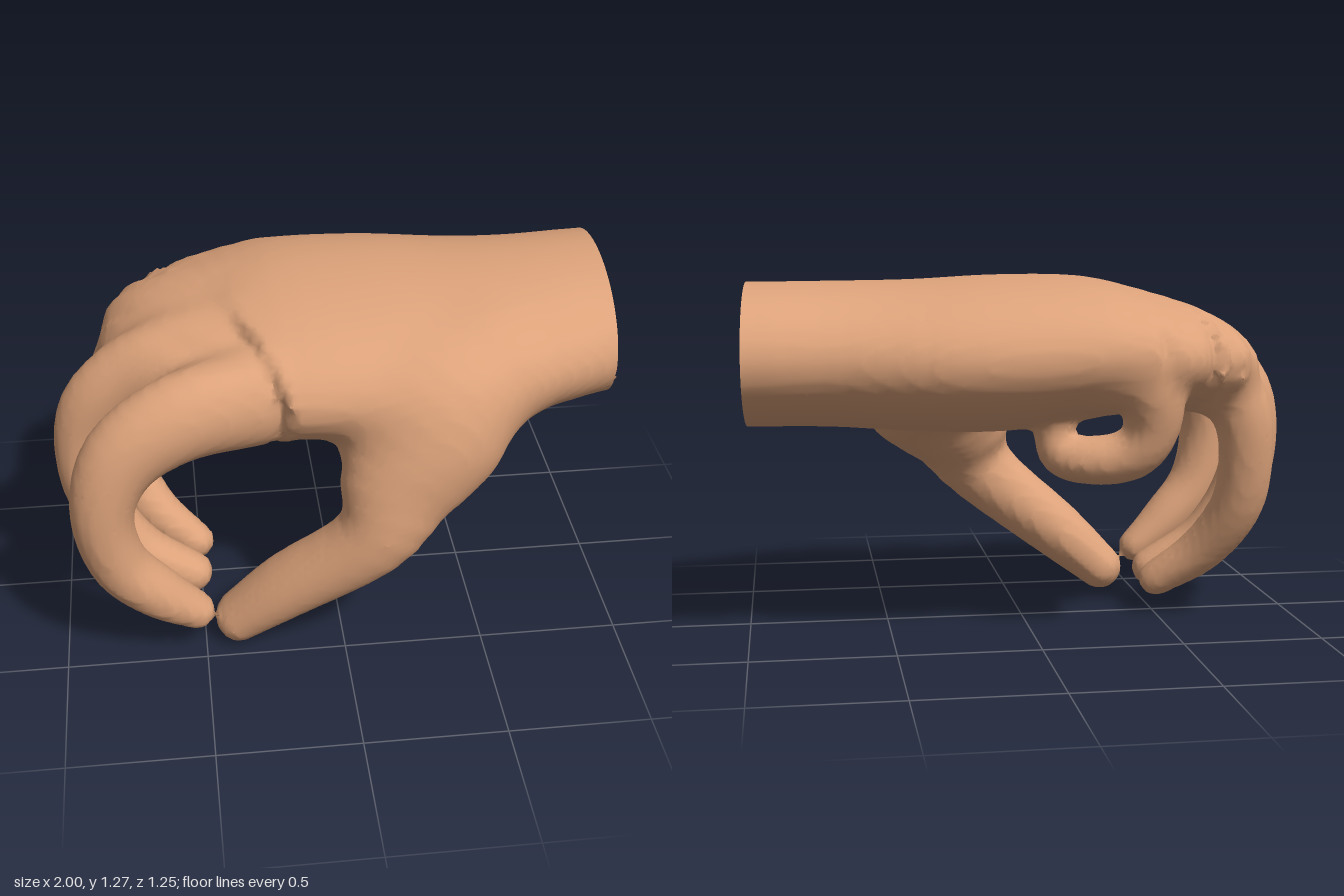
import * as THREE from 'three';
import { mergeVertices } from 'three/addons/utils/BufferGeometryUtils.js';

// Each part is a short path of [x, y, z, radius across the xy plane, radius in depth].

// Wrist through the back of the hand to the knuckles
const palmPath = [
  [1.3, 1.005, -0.13, 0.25, 0.42],
  [1.0, 1.005, -0.13, 0.25, 0.42],
  [0.7, 1.0, -0.085, 0.255, 0.465],
  [0.4, 0.99, -0.06, 0.268, 0.54],
  [0.1, 0.995, -0.065, 0.278, 0.565],
  [-0.2, 1.01, -0.055, 0.258, 0.565],
  [-0.4, 1.0, -0.04, 0.215, 0.535],
  [-0.52, 0.985, 0.05, 0.17, 0.42],
  [-0.58, 0.97, 0.11, 0.13, 0.34],
];

// Digits, with how softly each flows into the palm
const DIGITS = {
  // Fleshy base narrowing to the tip
  thumb: {
    blend: 0.12,
    path: [
      [0.5, 0.96, 0.22, 0.19, 0.2],
      [0.34, 0.85, 0.34, 0.26, 0.24],
      [0.2, 0.68, 0.43, 0.22, 0.185],
      [0.09, 0.48, 0.49, 0.14, 0.13],
      [-0.2, 0.24, 0.415, 0.112, 0.128],
      [-0.375, 0.088, 0.38, 0.087, 0.105],
    ],
  },
  indexFinger: {
    blend: 0.08,
    path: [
      [-0.3, 0.99, 0.34, 0.17, 0.14],
      [-0.55, 0.975, 0.41, 0.155, 0.13],
      [-0.75, 0.86, 0.45, 0.135, 0.12],
      [-0.83, 0.66, 0.47, 0.11, 0.115],
      [-0.79, 0.43, 0.46, 0.1, 0.11],
      [-0.66, 0.27, 0.44, 0.09, 0.1],
      [-0.53, 0.16, 0.42, 0.065, 0.075],
    ],
  },
  middleFinger: {
    blend: 0.08,
    path: [
      [-0.35, 1.01, 0.1, 0.18, 0.15],
      [-0.62, 0.98, 0.09, 0.16, 0.125],
      [-0.82, 0.87, 0.08, 0.125, 0.11],
      [-0.895, 0.7, 0.08, 0.105, 0.1],
      [-0.87, 0.47, 0.1, 0.1, 0.1],
      [-0.74, 0.25, 0.13, 0.095, 0.1],
      [-0.53, 0.13, 0.16, 0.07, 0.08],
    ],
  },
  ringFinger: {
    blend: 0.08,
    path: [
      [-0.35, 1.0, -0.18, 0.18, 0.14],
      [-0.58, 0.95, -0.22, 0.145, 0.12],
      [-0.73, 0.84, -0.26, 0.115, 0.1],
      [-0.78, 0.68, -0.26, 0.1, 0.09],
      [-0.77, 0.45, -0.21, 0.095, 0.09],
      [-0.67, 0.26, -0.11, 0.085, 0.085],
      [-0.51, 0.13, -0.03, 0.065, 0.07],
    ],
  },
  // Curled under, with its tip tucked into the palm
  littleFinger: {
    blend: 0.04,
    path: [
      [-0.2, 1.0, -0.42, 0.18, 0.15],
      [-0.35, 0.92, -0.46, 0.14, 0.13],
      [-0.39, 0.78, -0.45, 0.1, 0.105],
      [-0.33, 0.67, -0.42, 0.09, 0.1],
      [-0.19, 0.64, -0.37, 0.085, 0.1],
      [-0.08, 0.68, -0.32, 0.075, 0.085],
      [-0.08, 0.91, -0.31, 0.06, 0.07],
    ],
  },
};

// Cuts a part's smooth path into short straight segments with their own frames
function makeSegments(path) {
  const curve = (x, y, z) => new THREE.CatmullRomCurve3(
    path.map(r => new THREE.Vector3(r[x], r[y], r[z])), false, 'catmullrom', 0.5);
  const count = (path.length - 1) * 4;
  const centres = curve(0, 1, 2).getPoints(count), radii = curve(3, 4, 4).getPoints(count);
  const zAxis = new THREE.Vector3(0, 0, 1);
  return centres.slice(1).map((end, i) => {
    const start = centres[i], along = end.clone().sub(start), length = along.length();
    along.normalize();
    const across = new THREE.Vector3().crossVectors(zAxis, along).normalize();
    const depth = new THREE.Vector3().crossVectors(along, across);
    return { start, along, length, across, depth, r0: radii[i], r1: radii[i + 1] };
  });
}

// Approximate signed distance to the elliptical tube around the nearest segment
function tubeDistance(segments, p, q) {
  let best = Infinity, nearest, bestT;
  for (const s of segments) {
    q.subVectors(p, s.start);
    const t = Math.min(Math.max(q.dot(s.along), 0), s.length);
    const d = q.addScaledVector(s.along, -t).lengthSq();
    if (d < best) { best = d; nearest = s; bestT = t; }
  }
  const f = bestT / nearest.length;
  const a = nearest.r0.x + (nearest.r1.x - nearest.r0.x) * f;
  const b = nearest.r0.y + (nearest.r1.y - nearest.r0.y) * f;
  const c = Math.min(a, b);
  q.subVectors(p, nearest.start).addScaledVector(nearest.along, -bestT);
  const u = q.dot(nearest.across) / a, v = q.dot(nearest.depth) / b, w = q.dot(nearest.along) / c;
  const k = Math.hypot(u, v, w);
  return k < 1e-4 ? -c : k * (k - 1) / Math.hypot(u / a, v / b, w / c);
}

function smoothMin(a, b, blend) {
  const h = Math.max(blend - Math.abs(a - b), 0);
  return Math.min(a, b) - h * h / (4 * blend);
}

export function createModel() {
  const palm = { name: 'palm', segments: makeSegments(palmPath) };
  const digits = Object.entries(DIGITS).map(([name, d]) => ({ name, blend: d.blend, segments: makeSegments(d.path) }));
  const bodies = [palm, ...digits];
  const p = new THREE.Vector3(), q = new THREE.Vector3();

  // Sample the blended hand on a grid that stops at the wrist, leaving it open
  const step = 0.024;
  const low = [-1.08, -0.06, -0.72], high = [1 + step / 2, 1.36, 0.74];
  const size = low.map((l, i) => Math.floor((high[i] - l) / step + 1e-6) + 1);
  low[0] = high[0] - (size[0] - 1) * step;
  const stride = [1, size[0], size[0] * size[1]];
  const total = size[0] * size[1] * size[2];
  const coords = id => [id % size[0], Math.floor(id / stride[1]) % size[1], Math.floor(id / stride[2])];
  const field = new Float32Array(total);
  for (let id = 0; id < total; id++) {
    p.fromArray(coords(id).map((c, i) => low[i] + c * step));
    const base = tubeDistance(palm.segments, p, q);
    field[id] = Math.min(...digits.map(d => smoothMin(base, tubeDistance(d.segments, p, q), d.blend)));
  }

  // One vertex per crossed cell, at the mean of its edge crossings
  const positions = [], owners = [];
  const cellVertex = new Int32Array(total).fill(-1);
  for (let id = 0; id < total; id++) {
    const cell = coords(id);
    if (cell.some((c, i) => c >= size[i] - 1)) continue;
    const sum = [0, 0, 0];
    let crossings = 0;
    for (let corner = 0; corner < 8; corner++) {
      const offset = [corner & 1, (corner >> 1) & 1, corner >> 2];
      const from = id + offset[0] + offset[1] * stride[1] + offset[2] * stride[2];
      for (let axis = 0; axis < 3; axis++) {
        const a = field[from], b = field[from + stride[axis]];
        if (offset[axis] || (a < 0) === (b < 0)) continue;
        for (let i = 0; i < 3; i++) sum[i] += offset[i] + (i === axis ? a / (a - b) : 0);
        crossings++;
      }
    }
    if (!crossings) continue;
    p.fromArray(sum.map((s, i) => low[i] + (cell[i] + s / crossings) * step));
    const distances = bodies.map(b => tubeDistance(b.segments, p, q));
    owners.push(distances.indexOf(Math.min(...distances)));
    // Slant the wrist opening slightly
    const slant = 0.035 * THREE.MathUtils.smoothstep(p.x, 0.7, 1) * (p.z + 0.55);
    cellVertex[id] = positions.length / 3;
    positions.push(p.x - slant, p.y, p.z);
  }

  // Join the four cells around each crossed edge, sorted by part
  const all = [], partIndices = bodies.map(() => []);
  for (let id = 0; id < total; id++) {
    for (let axis = 0; axis < 3; axis++) {
      if (coords(id)[axis] >= size[axis] - 1) continue;
      const inside = field[id] < 0;
      if (inside === field[id + stride[axis]] < 0) continue;
      const v = stride[(axis + 1) % 3], w = stride[(axis + 2) % 3];
      const quad = [id, id - v, id - v - w, id - w].map(c => cellVertex[c]);
      if (quad.includes(-1)) continue;
      const [a, b, c, d] = inside ? quad : quad.reverse();
      all.push(a, b, c, a, c, d);
      partIndices[owners[a]].push(a, b, c, a, c, d);
    }
  }
  const whole = new THREE.BufferGeometry();
  whole.setAttribute('position', new THREE.Float32BufferAttribute(positions, 3));
  whole.setIndex(all);
  whole.computeVertexNormals();

  // One mesh per part, sharing normals so the skin stays seamless
  const skin = new THREE.MeshStandardMaterial({ color: 0xdca27a, side: THREE.DoubleSide });
  skin.name = 'skin';
  const hand = new THREE.Group();
  hand.name = 'hand';
  bodies.forEach((body, i) => {
    whole.setIndex(partIndices[i]);
    const mesh = new THREE.Mesh(mergeVertices(whole.toNonIndexed(), 1e-5), skin);
    mesh.name = body.name;
    hand.add(mesh);
  });
  return hand;
}
